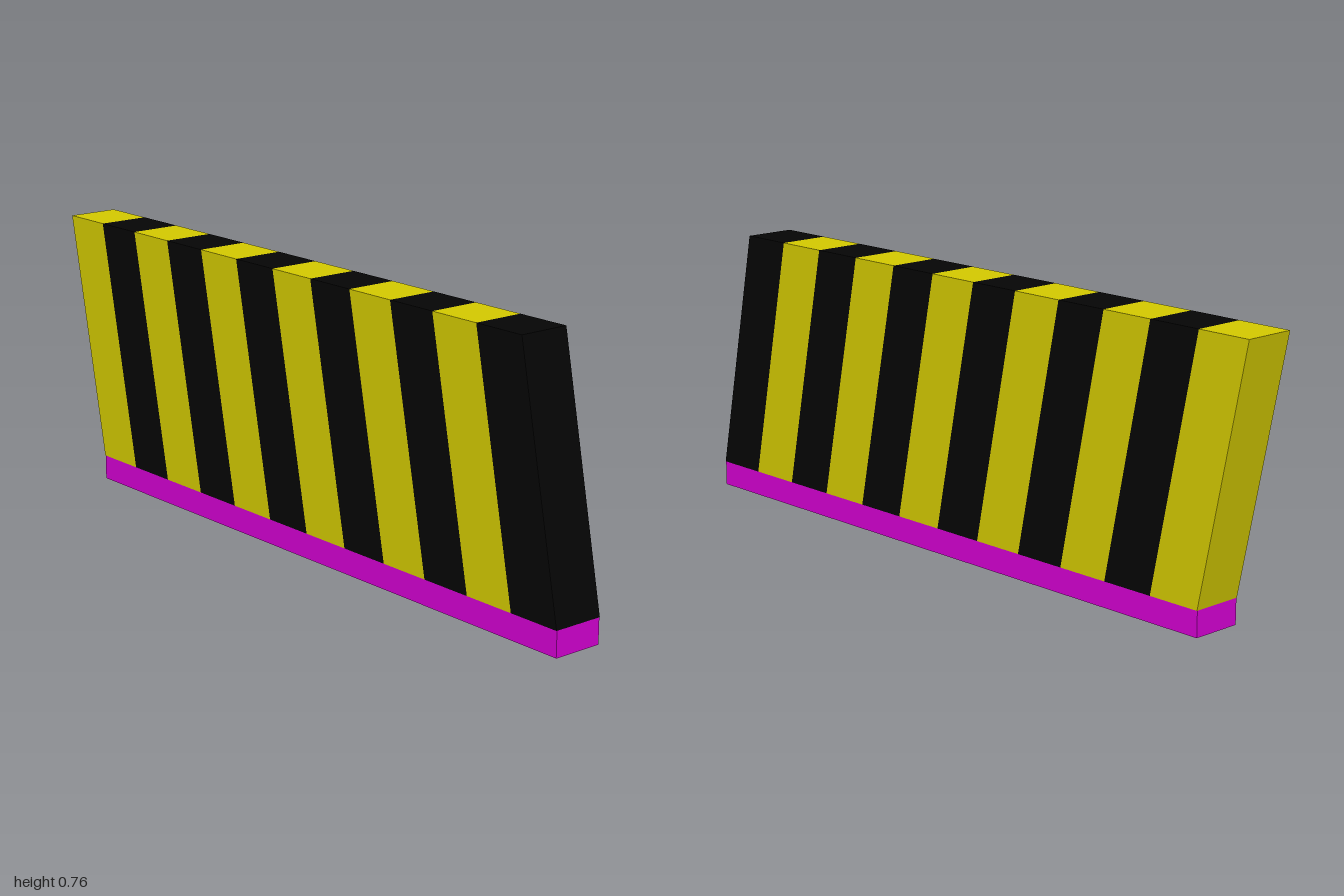
import * as THREE from 'three';

const STRIPES = 12;
const LENGTH = 1.86;
const BASE_HEIGHT = 0.07;
const PANEL_HEIGHT = 0.693;
const LEAN = 0.14; // backward shift from panel bottom to panel top

function createBlock(name, width, height, depth, material) {
  const geometry = new THREE.BoxGeometry(width, height, depth);
  geometry.translate(0, height / 2, 0);
  const mesh = new THREE.Mesh(geometry, material);
  mesh.name = name;
  return mesh;
}

export function createModel() {
  const model = new THREE.Group();
  model.name = 'stripedBarrier';

  const black = new THREE.MeshStandardMaterial({ color: 0x050505 });
  const yellow = new THREE.MeshStandardMaterial({ color: 0xd2c800 });
  const magenta = new THREE.MeshStandardMaterial({ color: 0xd200d0 });

  // Low plinth under the panel
  const base = createBlock('base', 0.143, BASE_HEIGHT, LENGTH, magenta);
  base.position.z = 1 - LENGTH / 2;
  model.add(base);

  // Slanted panel: sheared blocks in alternating colours, front to back
  const panel = new THREE.Group();
  panel.name = 'panel';
  panel.position.y = BASE_HEIGHT;
  const shear = new THREE.Matrix4().set(
    1, 0, 0, 0,
    0, 1, 0, 0,
    0, -LEAN / PANEL_HEIGHT, 1, 0,
    0, 0, 0, 1
  );
  const stripeDepth = LENGTH / STRIPES;
  for (let i = 0; i < STRIPES; i++) {
    const isBlack = i % 2 === 0;
    const stripe = createBlock(
      isBlack ? 'blackStripe' : 'yellowStripe',
      0.146, PANEL_HEIGHT, stripeDepth, isBlack ? black : yellow
    );
    stripe.geometry.applyMatrix4(shear);
    stripe.position.z = 1 - (i + 0.5) * stripeDepth;
    panel.add(stripe);
  }
  model.add(panel);

  return model;
}
